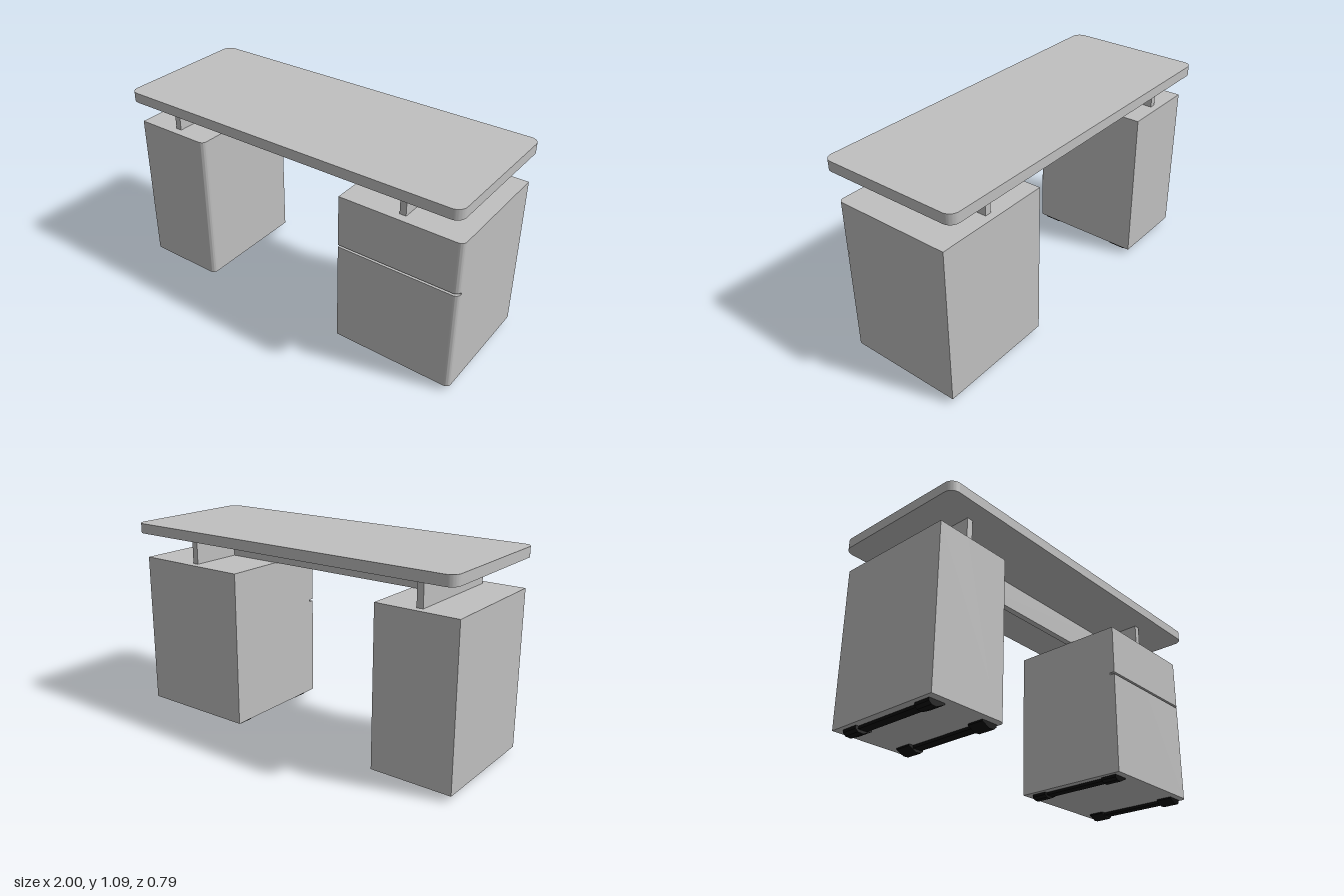
import * as THREE from 'three';
import { toCreasedNormals } from 'three/addons/utils/BufferGeometryUtils.js';

const grey = new THREE.MeshStandardMaterial({ color: 0xc0c0c0 });
grey.name = 'light grey';
const black = new THREE.MeshStandardMaterial({ color: 0x0c0c0c });
black.name = 'black';

function add(parent, name, geometry, material = grey) {
  const mesh = new THREE.Mesh(geometry, material);
  mesh.name = name;
  parent.add(mesh);
  return mesh;
}

// Box given by its limits on each axis
function box(parent, name, [x0, x1], [y0, y1], [z0, z1], material) {
  const mesh = add(parent, name, new THREE.BoxGeometry(x1 - x0, y1 - y0, z1 - z0), material);
  mesh.position.set((x0 + x1) / 2, (y0 + y1) / 2, (z0 + z1) / 2);
  return mesh;
}

// Upright slab from a plan outline drawn in (x, -z)
function slab(parent, name, shape, y0, y1) {
  const geo = new THREE.ExtrudeGeometry(shape, { depth: y1 - y0, bevelEnabled: false, curveSegments: 8 });
  geo.rotateX(-Math.PI / 2);
  const mesh = add(parent, name, toCreasedNormals(geo, 0.6));
  mesh.position.y = y0;
  return mesh;
}

// Desktop outline with four rounded corners
function roundedPlan(w, d, r) {
  const s = new THREE.Shape();
  s.absarc(w - r, d - r, r, 0, Math.PI / 2);
  s.absarc(-w + r, d - r, r, Math.PI / 2, Math.PI);
  s.absarc(-w + r, -d + r, r, Math.PI, Math.PI * 1.5);
  s.absarc(w - r, -d + r, r, Math.PI * 1.5, Math.PI * 2);
  s.closePath();
  return s;
}

// Front panel outline, rounded on its +x front edge only
function frontPlan(x0, x1) {
  const r = 0.029, s = new THREE.Shape();
  s.moveTo(x0, -0.3);
  s.lineTo(x0, -0.33);
  s.lineTo(x1 - r, -0.33);
  s.absarc(x1 - r, -0.33 + r, r, -Math.PI / 2, 0);
  s.lineTo(x1, -0.3);
  s.closePath();
  return s;
}

// Foot rail: a low bar with a wedge-shaped pad at each end
function footRail(parent, x, side) {
  const rail = new THREE.Group();
  rail.name = 'footRail';
  const profile = [[0, 0.03], [0, 0.015], [0.015, 0.002], [0.045, 0], [0.09, 0.022], [0.09, 0.03]];
  const shape = new THREE.Shape(profile.map(([px, py]) => new THREE.Vector2(px * side, py)));
  const geo = new THREE.ExtrudeGeometry(shape, { depth: 0.09, bevelEnabled: false });
  for (const z of [-0.28, 0.2]) add(rail, 'footPad', geo, black).position.z = z;
  const bar = box(rail, 'footBar', [0.015, 0.065], [0.015, 0.03], [-0.2, 0.21], black);
  bar.position.x *= side;
  rail.position.x = x;
  parent.add(rail);
}

function pedestal(name, x0, x1, fronts) {
  const g = new THREE.Group();
  g.name = name;
  box(g, 'cabinetBody', [x0, x1], [0.03, 0.885], [-0.33, 0.3]);
  for (const [part, y0, y1] of fronts) slab(g, part, frontPlan(x0, x1), y0, y1);
  // Recessed lip showing in the gap between two fronts
  if (fronts.length > 1) box(g, 'drawerLip', [x0 + 0.02, x1 - 0.03], [0.592, 0.606], [0.3, 0.316]);
  footRail(g, x0 + 0.025, 1);
  footRail(g, x1 - 0.015, -1);
  return g;
}

export function createModel() {
  const desk = new THREE.Group();
  desk.name = 'desk';

  slab(desk, 'desktop', roundedPlan(1, 0.393, 0.05), 1.035, 1.09);

  // Frame lifting the desktop off the pedestals
  const frame = new THREE.Group();
  frame.name = 'supportFrame';
  box(frame, 'rightSupport', [-0.79, -0.755], [0.885, 1.035], [-0.29, 0.285]);
  box(frame, 'leftSupport', [0.64, 0.675], [0.885, 1.035], [-0.29, 0.285]);
  box(frame, 'crossPanel', [-0.755, 0.64], [0.885, 1.035], [0, 0.035]);
  desk.add(frame);

  desk.add(pedestal('rightCabinet', -1, -0.552, [['doorFront', 0.03, 0.885]]));
  desk.add(pedestal('leftCabinet', 0.328, 0.996, [
    ['lowerDrawerFront', 0.03, 0.593],
    ['upperDrawerFront', 0.605, 0.885],
  ]));
  return desk;
}
